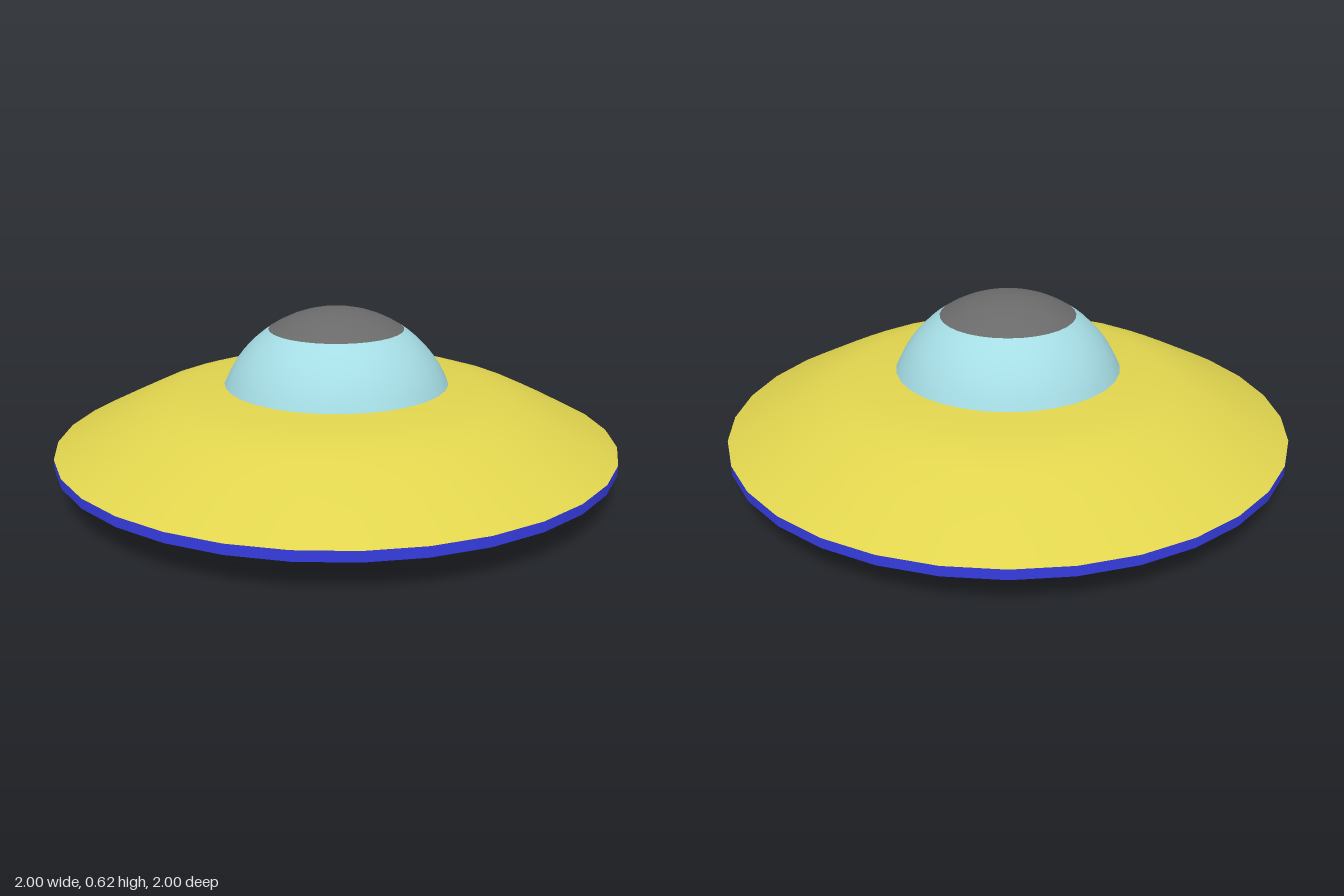
import * as THREE from 'three';

const SIDES = 32;

// Round part turned from a profile of [radius, height] pairs, listed bottom to top
function turned(name, color, profile) {
  const points = profile.map(([r, y]) => new THREE.Vector2(r, y));
  const mesh = new THREE.Mesh(
    new THREE.LatheGeometry(points, SIDES),
    new THREE.MeshStandardMaterial({ color, side: THREE.DoubleSide })
  );
  mesh.name = name;
  return mesh;
}

// Points along the dome's sphere between two heights
function domeArc(y0, y1, steps) {
  const radius = 0.433, centre = 0.192;
  const a0 = Math.asin((y0 - centre) / radius);
  const a1 = Math.asin(Math.min(1, (y1 - centre) / radius));
  return Array.from({ length: steps + 1 }, (_, i) => {
    const a = a0 + (a1 - a0) * i / steps;
    return [Math.max(0, radius * Math.cos(a)), centre + radius * Math.sin(a)];
  });
}

export function createModel() {
  const yellow = 0xe0d44e, blue = 0x363ce0, dark = 0x444444, glass = 0xa5dce4, grey = 0x6a6a6a;
  const model = new THREE.Group();
  model.name = 'flyingSaucer';

  model.add(
    // Base plate and its edge
    turned('basePlate', dark, [[0, 0], [0.54, 0]]),
    turned('baseEdge', blue, [[0.54, 0], [0.54, 0.018]]),
    // Curved belly below the hull
    turned('belly', dark, [[0.54, 0.018], [0.575, 0.027], [0.61, 0.043], [0.645, 0.066], [0.675, 0.09], [0.7, 0.115]]),
    turned('hullUnderside', dark, [[0.7, 0.115], [1, 0.115]]),
    // Rim and upper hull
    turned('rim', blue, [[1, 0.115], [1, 0.15]]),
    turned('upperHull', yellow, [[1, 0.15], [0.9, 0.203], [0.8, 0.253], [0.7, 0.301], [0.62, 0.328], [0.54, 0.345], [0.4, 0.357]]),
    // Glass dome and its cap
    turned('dome', glass, domeArc(0.357, 0.552, 8)),
    turned('domeCap', grey, domeArc(0.552, 0.625, 6))
  );
  return model;
}
